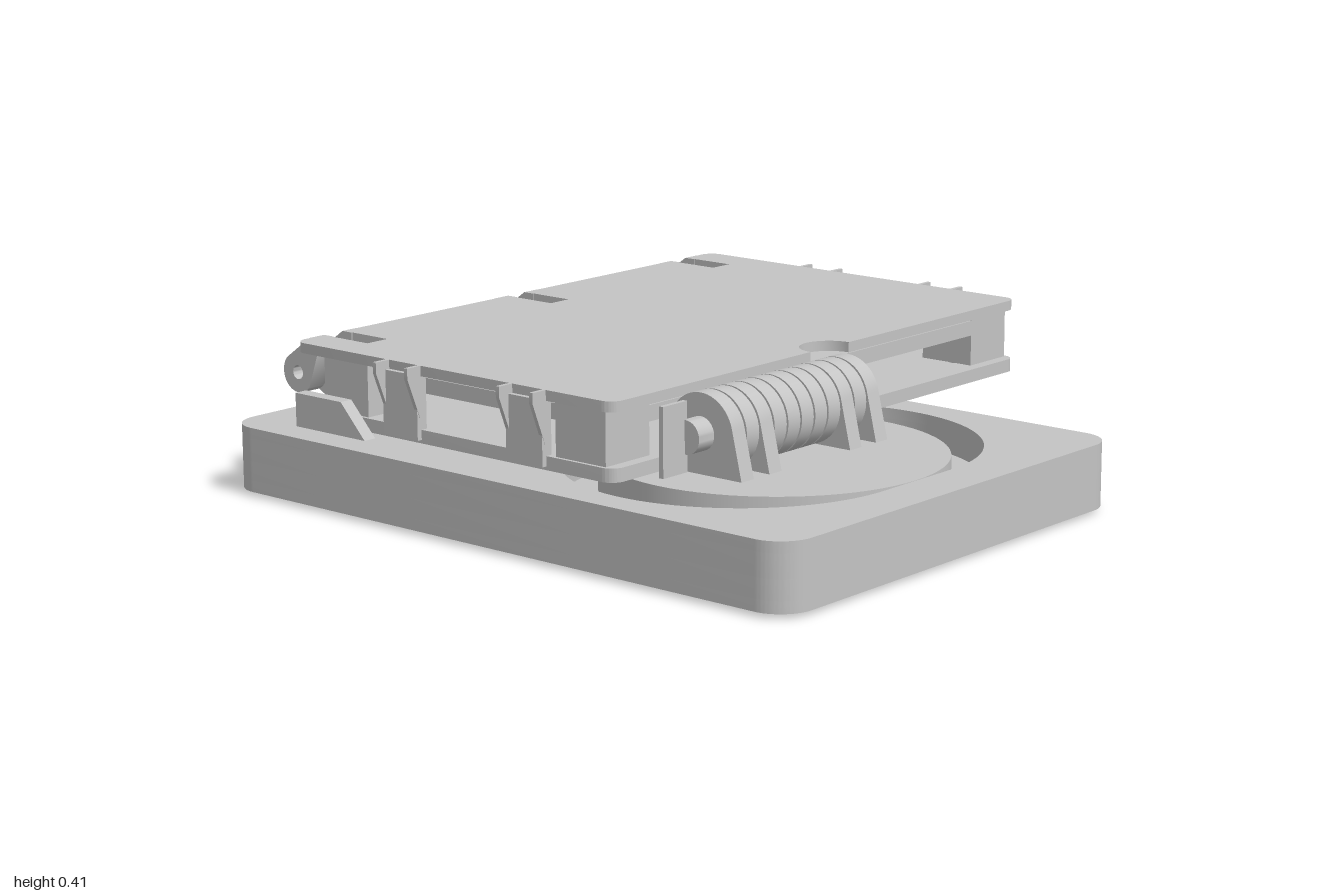
import * as THREE from 'three';
import { toCreasedNormals } from 'three/addons/utils/BufferGeometryUtils.js';

export function createModel() {
  const root = new THREE.Group();
  root.name = 'hingedCaseOnBase';
  const grey = new THREE.MeshStandardMaterial({ color: 0xc4c4c4 });
  grey.name = 'plain grey';

  const add = (name, geo) => {
    const m = new THREE.Mesh(geo, grey);
    m.name = name;
    root.add(m);
    return m;
  };
  const box = (name, x0, x1, y0, y1, z0, z1) =>
    add(name, new THREE.BoxGeometry(x1 - x0, y1 - y0, z1 - z0)
      .translate((x0 + x1) / 2, (y0 + y1) / 2, (z0 + z1) / 2));
  const extrude = (shape, depth) => toCreasedNormals(
    new THREE.ExtrudeGeometry(shape, { depth, bevelEnabled: false, curveSegments: 14 }), 0.6);
  // plan outline (x, -z) raised from y0 to y1
  const slab = (name, shape, y0, y1) =>
    add(name, extrude(shape, y1 - y0).rotateX(-Math.PI / 2).translate(0, y0, 0));
  // side outline (-z, y) swept from x0 to x1
  const side = (name, shape, x0, x1) =>
    add(name, extrude(shape, x1 - x0).rotateY(Math.PI / 2).translate(x0, 0, 0));
  // cylinder along x
  const rod = (name, r, x0, x1, y, z, n = 40) =>
    add(name, toCreasedNormals(new THREE.CylinderGeometry(r, r, x1 - x0, n).rotateZ(Math.PI / 2), 0.6)
      .translate((x0 + x1) / 2, y, z));

  const roundRect = (x0, x1, z0, z1, r, s = new THREE.Shape()) => {
    const a = -z1, b = -z0, h = Math.PI / 2;
    s.moveTo(x0 + r, a);
    s.lineTo(x1 - r, a);
    s.absarc(x1 - r, a + r, r, -h, 0, false);
    s.absarc(x1 - r, b - r, r, 0, h, false);
    s.absarc(x0 + r, b - r, r, h, 2 * h, false);
    s.absarc(x0 + r, a + r, r, 2 * h, 3 * h, false);
    return s;
  };
  const circle = (x, v, r) => new THREE.Path().absarc(x, v, r, 0, Math.PI * 2, false);

  // ---- base: stacked layers with pockets below and a slotted groove above
  const BX = -0.285, PX = 0.275, PZ = 0.28, PH = 0.113;
  const outline = () => roundRect(-1, 0.43, -1, 1, 0.1);
  const pockets = (shape, maxRow) => {
    for (let i = -2; i <= 2; i++) for (let j = -3; j <= maxRow; j++) {
      const x = BX + i * PX, z = j * PZ;
      if (Math.abs(i) === 2 && Math.abs(j) === 3) continue;
      if (i === 0 && j === 1) continue;
      shape.holes.push(roundRect(x - PH, x + PH, z - PH, z + PH, 0.04, new THREE.Path()));
    }
    return shape;
  };
  const bottom = pockets(outline(), 3);
  for (const x of [BX - 2 * PX, BX + 2 * PX]) for (const z of [-3 * PZ, 3 * PZ]) {
    bottom.holes.push(circle(x, -z, 0.065));
    add('footDisc', new THREE.CylinderGeometry(0.062, 0.062, 0.03, 32).translate(x, 0.031, z));
  }
  bottom.holes.push(roundRect(-0.42, -0.15, 0.3, 0.4, 0.049, new THREE.Path()));
  slab('baseUnderside', bottom, 0.012, 0.045);
  slab('baseCore', pockets(outline(), -1), 0.045, 0.1);
  const GZ = 0.385, GR = 0.475;
  const groove = () => roundRect(-0.435 - GR, -0.145 + GR, GZ - GR, GZ + GR, GR - 0.0005, new THREE.Path());
  const upper = pockets(outline(), -1);
  upper.holes.push(groove());
  slab('baseUpper', upper, 0.1, 0.165);
  const top = outline();
  top.holes.push(groove());
  slab('baseTop', top, 0.165, 0.195);
  add('turntableDisc', new THREE.CylinderGeometry(GR - 0.002, GR - 0.002, 0.095, 72).translate(-0.29, 0.1475, GZ));
  box('baseLip', -0.385, -0.185, 0, 0.046, 0.745, 0.845);

  // ---- case: tray, corner posts, inner plate and lid
  const CX = 0.055, hinges = [0.795, CX, -0.69];
  const tray = roundRect(-0.84, 0.95, -0.82, 0.3, 0.04);
  for (const x of [-0.68, 0.79]) for (const z of [-0.64, 0.2]) tray.holes.push(circle(x, -z, 0.025));
  slab('tray', tray, 0.2, 0.238);
  slab('trayPanel', roundRect(-0.6, 0.71, -0.42, 0.05, 0.02), 0.196, 0.202);
  for (const s of [-1, 1]) for (const [z0, z1] of [[-0.78, -0.61], [0.09, 0.265]]) {
    const c = CX + s * 0.8;
    box('cornerPost', c - 0.085, c + 0.085, 0.235, 0.39, z0, z1);
  }
  box('innerPlate', -0.8, 0.91, 0.328, 0.372, -0.775, 0.265);

  const lid = new THREE.Shape();
  const r = 0.04, q = Math.PI / 2;
  lid.moveTo(-0.84 + r, -0.3);
  lid.lineTo(CX - 0.085, -0.3);
  lid.absarc(CX, -0.3, 0.085, Math.PI, 0, true);
  lid.lineTo(0.95 - r, -0.3);
  lid.absarc(0.95 - r, -0.3 + r, r, -q, 0, false);
  lid.absarc(0.95 - r, 0.89 - r, r, 0, q, false);
  for (const h of hinges) {
    lid.lineTo(h + 0.038, 0.89);
    lid.lineTo(h + 0.038, 0.715);
    lid.lineTo(h - 0.038, 0.715);
    lid.lineTo(h - 0.038, 0.89);
  }
  lid.absarc(-0.84 + r, 0.89 - r, r, q, 2 * q, false);
  lid.absarc(-0.84 + r, -0.3 + r, r, 2 * q, 3 * q, false);
  slab('lid', lid, 0.386, 0.415);

  // ---- rear hinges: a curved tray leaf between two lid leaves
  const HU = 0.942, HY = 0.31, HR = 0.058;
  const trayLeaf = new THREE.Shape();
  trayLeaf.moveTo(0.8, 0.2);
  trayLeaf.lineTo(0.775, 0.238);
  trayLeaf.quadraticCurveTo(0.86, 0.26, 0.91, 0.358);
  trayLeaf.absarc(HU, HY, HR, 2.15, -1.9, true);
  trayLeaf.lineTo(0.82, 0.2);
  const lidLeaf = new THREE.Shape();
  lidLeaf.moveTo(0.855, 0.388);
  lidLeaf.lineTo(0.855, 0.415);
  lidLeaf.lineTo(0.892, 0.415);
  lidLeaf.absarc(HU, HY, HR, 0.7, -2.5, true);
  for (const s of [lidLeaf, trayLeaf]) s.holes.push(circle(HU, HY, 0.02));
  for (const h of hinges) {
    side('trayHingeLeaf', trayLeaf, h - 0.031, h + 0.031);
    for (const s of [-1, 1]) side('lidHingeLeaf', lidLeaf, h + s * 0.0635 - 0.0285, h + s * 0.0635 + 0.0285);
    for (let k = 0; k < 3; k++)
      box('hingeStep', h - 0.038, h + 0.038, 0.36, 0.402 - k * 0.008, -0.735 - k * 0.02, -0.715 - k * 0.02);
  }

  // ---- side clips, each with two flared fins
  for (const s of [-1, 1]) for (const z of [0, -0.46]) {
    const a = CX + s * 0.875, b = CX + s * 0.91;
    box('sideClip', Math.min(a, b), Math.max(a, b), 0.21, 0.39, z - 0.065, z + 0.065);
    for (const e of [-1, 1]) {
      const fin = new THREE.Shape([[0.9, 0.27], [0.945, 0.385], [0.945, 0.415], [0.89, 0.415]]
        .map(([x, y]) => new THREE.Vector2(CX + s * x, y)));
      add('clipFin', extrude(fin, 0.012).translate(0, 0, z + e * 0.06 - 0.006));
    }
  }

  // ---- front roller: eleven discs, four of them standing brackets
  const RY = 0.305, RZ = 0.39, RR = 0.109;
  const bracket = new THREE.Shape();
  bracket.moveTo(-0.285, 0.195);
  bracket.lineTo(-0.528, 0.195);
  bracket.absarc(-RZ, RY, RR, Math.PI * 0.94, 0, true);
  for (let i = 0; i < 11; i++) {
    const x = -0.575 + i * 0.057;
    if ([0, 2, 8, 10].includes(i)) side('rollerBracket', bracket, x - 0.025, x + 0.025);
    else rod('rollerDisc', RR, x - 0.025, x + 0.025, RY, RZ);
  }
  rod('rollerCore', 0.092, -0.6, 0.015, RY, RZ);
  rod('rollerCollar', 0.046, -0.66, -0.6, RY, RZ);
  rod('rollerWasher', 0.046, 0, 0.026, RY, RZ);
  rod('rollerNut', 0.026, 0.02, 0.04, RY, RZ, 6);
  rod('lockPin', 0.025, 0, 0.026, 0.384, RZ, 24);
  box('rollerTab', -0.745, -0.65, 0.21, 0.4, 0.373, 0.387);

  // ---- stop block on the base beside the case
  const stop = new THREE.Shape([[0.82, 0.19], [0.545, 0.19], [0.64, 0.29], [0.82, 0.29]]
    .map(([u, y]) => new THREE.Vector2(u, y)));
  side('stopBlock', stop, -0.905, -0.865);

  return root;
}
